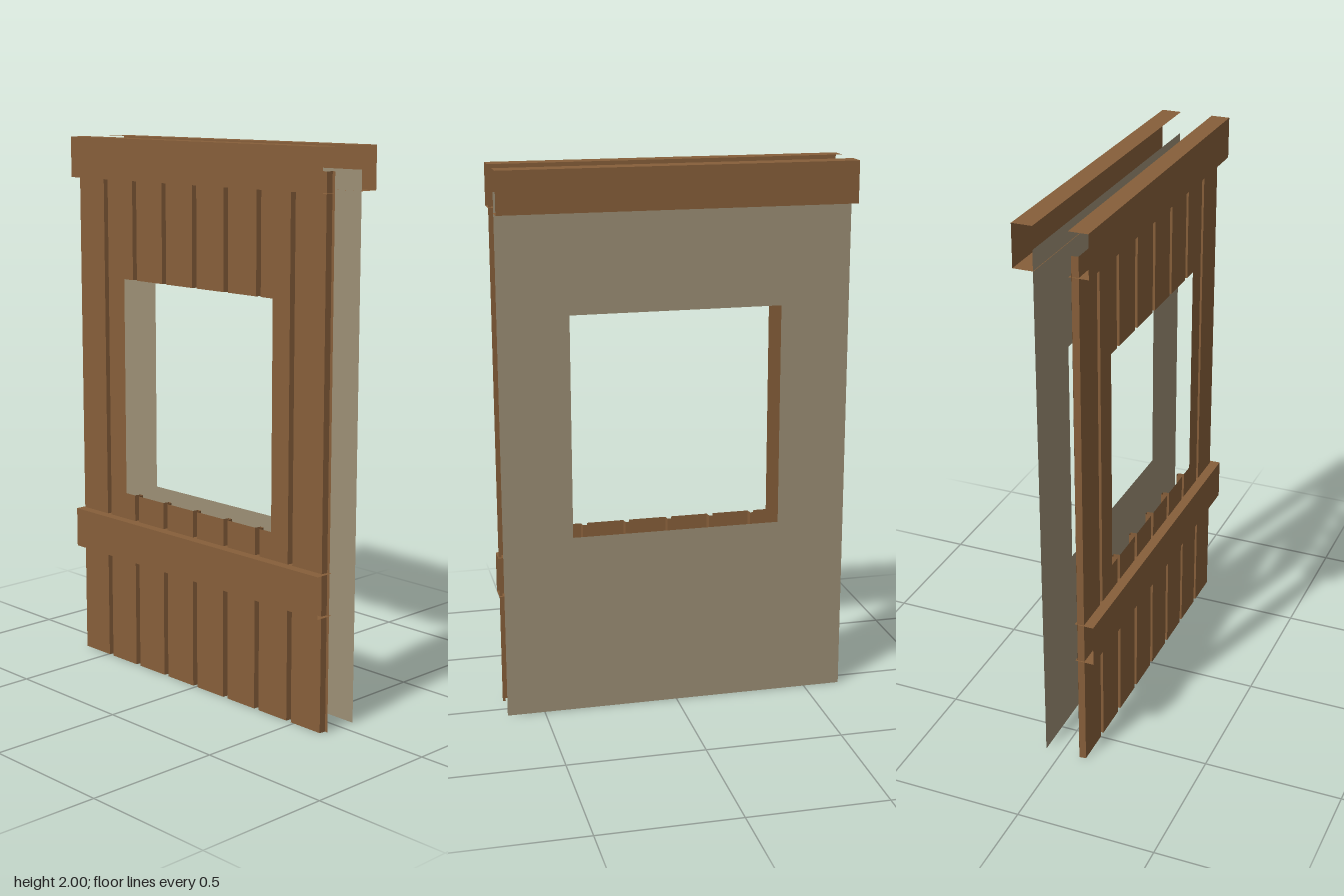
import * as THREE from 'three';

const W = 0.638;                                        // half width of the wall
const TOP = 1.92;                                       // top of both sheets
const WIN = { x0: -0.385, x1: 0.383, y0: 0.67, y1: 1.485 };

// Open ribbon: a cross-section of points swept along a step vector
function ribbon(points, step, material, name) {
  const pos = [];
  for (let i = 0; i < points.length - 1; i++) {
    const a = points[i], b = points[i + 1];
    const c = b.clone().add(step), d = a.clone().add(step);
    for (const p of [a, b, c, a, c, d]) pos.push(p.x, p.y, p.z);
  }
  const geo = new THREE.BufferGeometry();
  geo.setAttribute('position', new THREE.Float32BufferAttribute(pos, 3));
  geo.computeVertexNormals();
  const mesh = new THREE.Mesh(geo, material);
  mesh.name = name;
  return mesh;
}

// Plank profile: flat boards separated by narrow grooves
const FRONT = 0.094, GROOVE = 0.07;
function plankPoints(x0, x1, y) {
  const corners = [];
  for (let i = 0; i < 9; i++) {
    const c = -0.645 + i * 0.16;
    corners.push([c - 0.011, FRONT], [c - 0.008, GROOVE], [c + 0.008, GROOVE], [c + 0.011, FRONT]);
  }
  const depth = x => {
    for (let i = 0; i < corners.length - 1; i++) {
      const [ax, az] = corners[i], [bx, bz] = corners[i + 1];
      if (x >= ax && x <= bx) return az + (bz - az) * (x - ax) / (bx - ax);
    }
    return FRONT;
  };
  const xs = [x0, ...corners.map(c => c[0]).filter(x => x > x0 && x < x1), x1];
  return xs.map(x => new THREE.Vector3(x, y, depth(x)));
}

export function createModel() {
  const model = new THREE.Group();
  const wood = new THREE.MeshStandardMaterial({ color: 0x875f3a, side: THREE.DoubleSide });
  wood.name = 'brown wood';
  const lining = new THREE.MeshStandardMaterial({ color: 0x9c8f75, side: THREE.DoubleSide });
  lining.name = 'grey plaster';

  // Planked front sheet, in four pieces around the window
  const planks = new THREE.Group();
  planks.name = 'frontPlanks';
  const pieces = [
    ['planksRight', -W, WIN.x0, 0, TOP],
    ['planksLeft', WIN.x1, W, 0, TOP],
    ['planksBelowWindow', WIN.x0, WIN.x1, 0, WIN.y0],
    ['planksAboveWindow', WIN.x0, WIN.x1, WIN.y1, TOP],
  ];
  for (const [name, x0, x1, y0, y1] of pieces) {
    planks.add(ribbon(plankPoints(x0, x1, y0), new THREE.Vector3(0, y1 - y0, 0), wood, name));
  }
  model.add(planks);

  // Flat back sheet with the window opening
  const sheet = new THREE.Shape([[-W, 0], [W, 0], [W, TOP], [-W, TOP]].map(p => new THREE.Vector2(...p)));
  sheet.holes.push(new THREE.Path([[WIN.x0, WIN.y0], [WIN.x0, WIN.y1], [WIN.x1, WIN.y1], [WIN.x1, WIN.y0]]
    .map(p => new THREE.Vector2(...p))));
  const back = new THREE.Mesh(new THREE.ShapeGeometry(sheet), lining);
  back.name = 'backSheet';
  back.position.z = -0.06;
  model.add(back);

  // Rails: open channels made of a top, a face and a bottom
  const rail = (name, y0, y1, inner, outer) => {
    let section = [[y0, inner], [y0, outer], [y1, outer], [y1, inner]];
    if (outer > 0) section = section.reverse();
    const points = section.map(([y, z]) => new THREE.Vector3(-0.64, y, z));
    model.add(ribbon(points, new THREE.Vector3(1.28, 0, 0), wood, name));
  };
  rail('frontTopRail', 1.85, 2, 0.062, 0.13);
  rail('frontMiddleRail', 0.42, 0.57, 0.062, 0.13);
  rail('backTopRail', 1.85, 2, -0.058, -0.13);

  return model;
}
